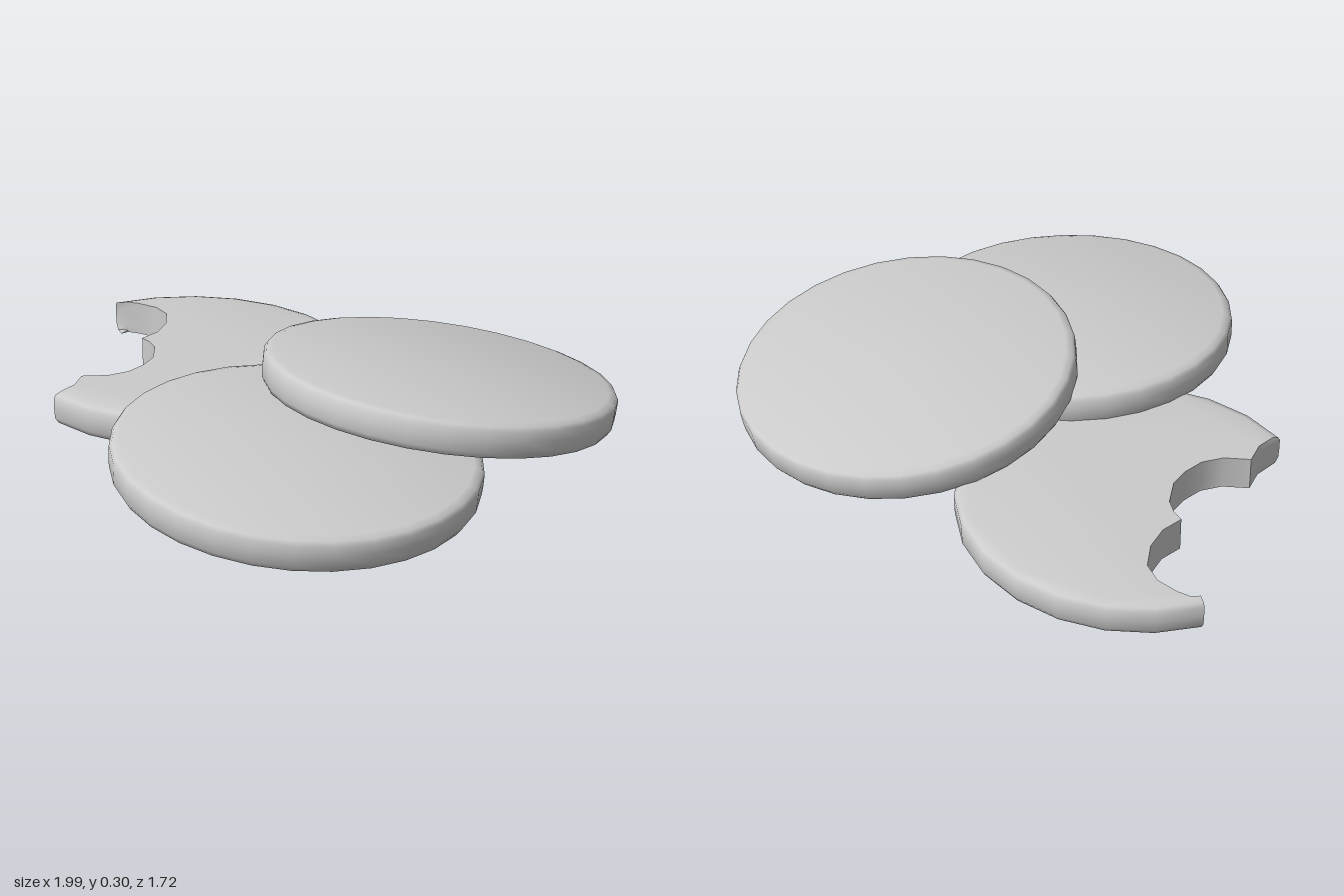
import * as THREE from 'three';
import { toCreasedNormals } from 'three/addons/utils/BufferGeometryUtils.js';

const RADIUS = 0.565;
const THICK = 0.112;
// Rim profile: [inset from the edge, height], bottom to top
const RIM = [[0.04, 0], [0.014, 0.007], [0.002, 0.026], [0, 0.06], [0, 0.092], [0.008, 0.105], [0.03, THICK]];

const material = new THREE.MeshStandardMaterial({ color: 0xcccccc });

// Whole round disc, turned from the rim profile and centred on its thickness
function wholeCookie(name) {
  const profile = [[RADIUS, 0], ...RIM, [RADIUS, THICK + 0.002]]
    .map(([inset, y]) => new THREE.Vector2(RADIUS - inset, y - THICK / 2));
  const geometry = toCreasedNormals(new THREE.LatheGeometry(profile, 30), 0.9);
  const mesh = new THREE.Mesh(geometry, material);
  mesh.name = name;
  return mesh;
}

// Disc with bites: the round edge follows the rim profile, the bite walls stay vertical
function bittenCookie(name) {
  const cx = -0.44, cz = 0.03, rx = 0.56, rz = 0.54;
  const bite = [
    [-0.95, -0.09], [-0.91, -0.113], [-0.84, -0.135], [-0.77, -0.125], [-0.70, -0.07],
    [-0.655, 0], [-0.64, 0.075], [-0.60, 0.075], [-0.55, 0.09], [-0.48, 0.15], [-0.45, 0.21],
    [-0.435, 0.28], [-0.45, 0.35], [-0.50, 0.42], [-0.455, 0.48],
  ];
  const steps = 17, start = Math.PI / 2, end = -Math.PI + 0.186;
  const ring = (inset) => {
    const arc = [];
    for (let i = 0; i <= steps; i++) {
      const a = start + (end - start) * i / steps;
      arc.push([cx + (rx - inset) * Math.cos(a), cz + (rz - inset) * Math.sin(a)]);
    }
    return [...arc, ...bite];
  };

  const positions = [], index = [];
  const n = steps + 1 + bite.length;
  RIM.forEach(([inset, y]) => ring(inset).forEach(([x, z]) => positions.push(x, y, z)));
  // Side walls
  for (let k = 0; k < RIM.length - 1; k++) {
    for (let i = 0; i < n; i++) {
      const j = (i + 1) % n;
      const a = k * n + i, b = k * n + j;
      index.push(a, b, b + n, a, b + n, a + n);
    }
  }
  // Top and bottom faces
  const cap = (k, flip) => {
    const outline = ring(RIM[k][0]).map(([x, z]) => new THREE.Vector2(x, -z));
    for (const [a, b, c] of THREE.ShapeUtils.triangulateShape(outline, [])) {
      const o = k * n;
      if (flip) index.push(o + a, o + c, o + b);
      else index.push(o + a, o + b, o + c);
    }
  };
  cap(0, true);
  cap(RIM.length - 1, false);

  const geometry = new THREE.BufferGeometry();
  geometry.setAttribute('position', new THREE.Float32BufferAttribute(positions, 3));
  geometry.setIndex(index);
  const mesh = new THREE.Mesh(toCreasedNormals(geometry, 0.9), material);
  mesh.name = name;
  return mesh;
}

export function createModel() {
  const group = new THREE.Group();
  group.name = 'cookiePile';

  // Bitten cookie lies flat on the ground
  const bitten = bittenCookie('bittenCookie');
  bitten.position.y = 0.004;

  // Front cookie leans on the bitten one, sloping down to the left
  const front = wholeCookie('frontCookie');
  front.position.set(0.435, 0.111, 0.31);
  front.scale.z = 0.96;
  front.rotation.z = -0.085;

  // Back cookie rests on the front one, sloping down to the rear
  const back = wholeCookie('backCookie');
  back.position.set(0.375, 0.172, -0.32);
  back.scale.z = 0.965;
  back.rotation.x = -0.15;

  group.add(bitten, front, back);
  return group;
}
